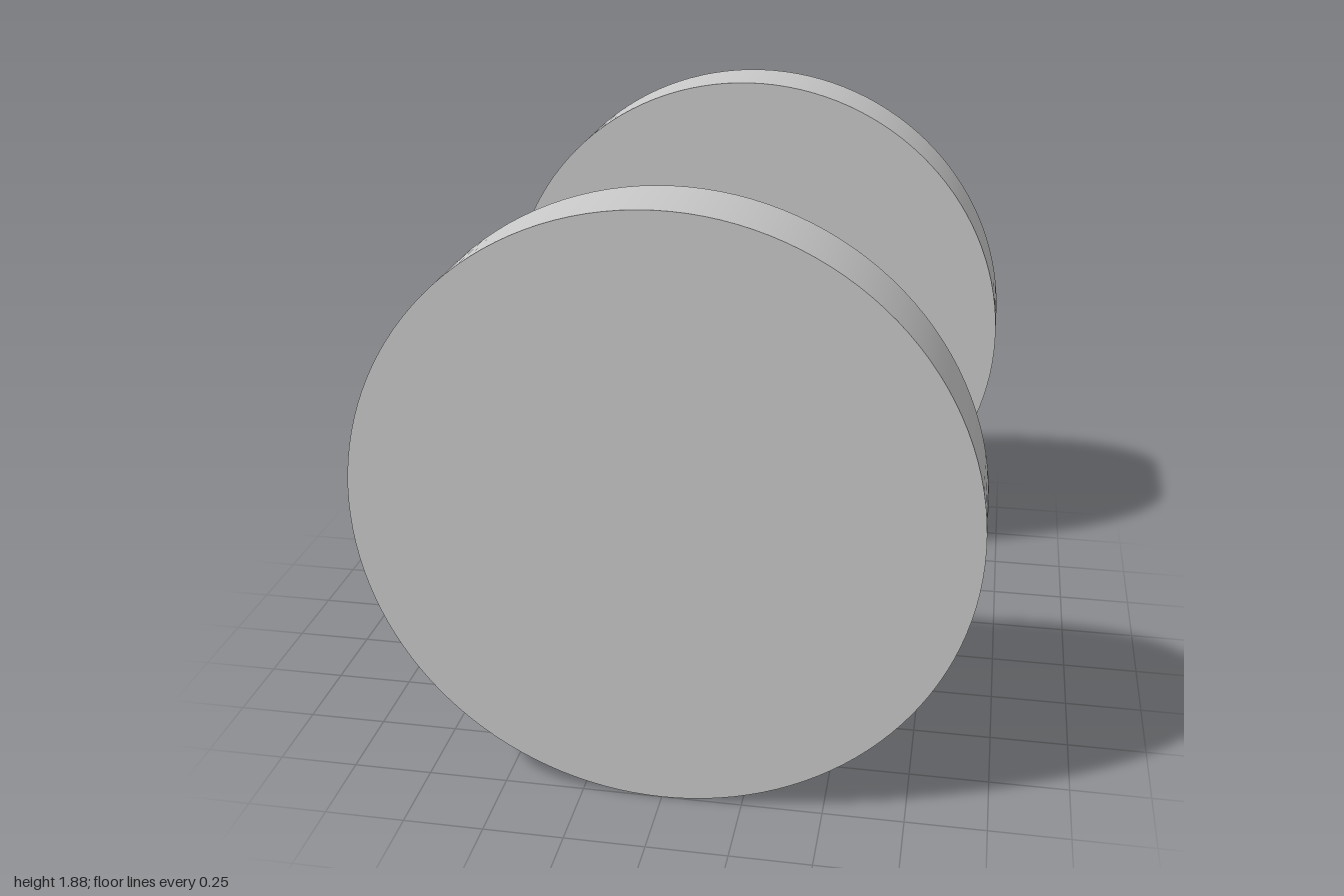
import * as THREE from 'three';

const DISC_RADIUS = 0.94, DISC_INNER = 0.74, DISC_OUTER = 1;
const SHAFT_RADIUS = 0.183, FILLET = 0.15;

export function createModel() {
  const model = new THREE.Group();
  model.name = 'spool';
  const grey = new THREE.MeshStandardMaterial({ color: 0xc8c8c8 });
  grey.name = 'plain grey';

  // Two end discs, front and back
  const thickness = DISC_OUTER - DISC_INNER;
  for (const side of [1, -1]) {
    const geometry = new THREE.CylinderGeometry(DISC_RADIUS, DISC_RADIUS, thickness, 128);
    geometry.rotateX(Math.PI / 2);
    const disc = new THREE.Mesh(geometry, grey);
    disc.name = side > 0 ? 'frontDisc' : 'backDisc';
    disc.position.set(0, DISC_RADIUS, side * (DISC_INNER + thickness / 2));
    model.add(disc);
  }

  // Shaft that flares through a quarter-round fillet into each disc
  const steps = 16, lower = [];
  for (let i = 0; i <= steps; i++) {
    const a = (i / steps) * Math.PI / 2;
    lower.push(new THREE.Vector2(
      SHAFT_RADIUS + FILLET * (1 - Math.sin(a)),
      -DISC_INNER + FILLET * (1 - Math.cos(a))
    ));
  }
  const upper = lower.map((p) => new THREE.Vector2(p.x, -p.y)).reverse();
  const shaftGeometry = new THREE.LatheGeometry([...lower, ...upper], 96);
  shaftGeometry.rotateX(Math.PI / 2);
  const shaft = new THREE.Mesh(shaftGeometry, grey);
  shaft.name = 'shaft';
  shaft.position.y = DISC_RADIUS;
  model.add(shaft);

  return model;
}
